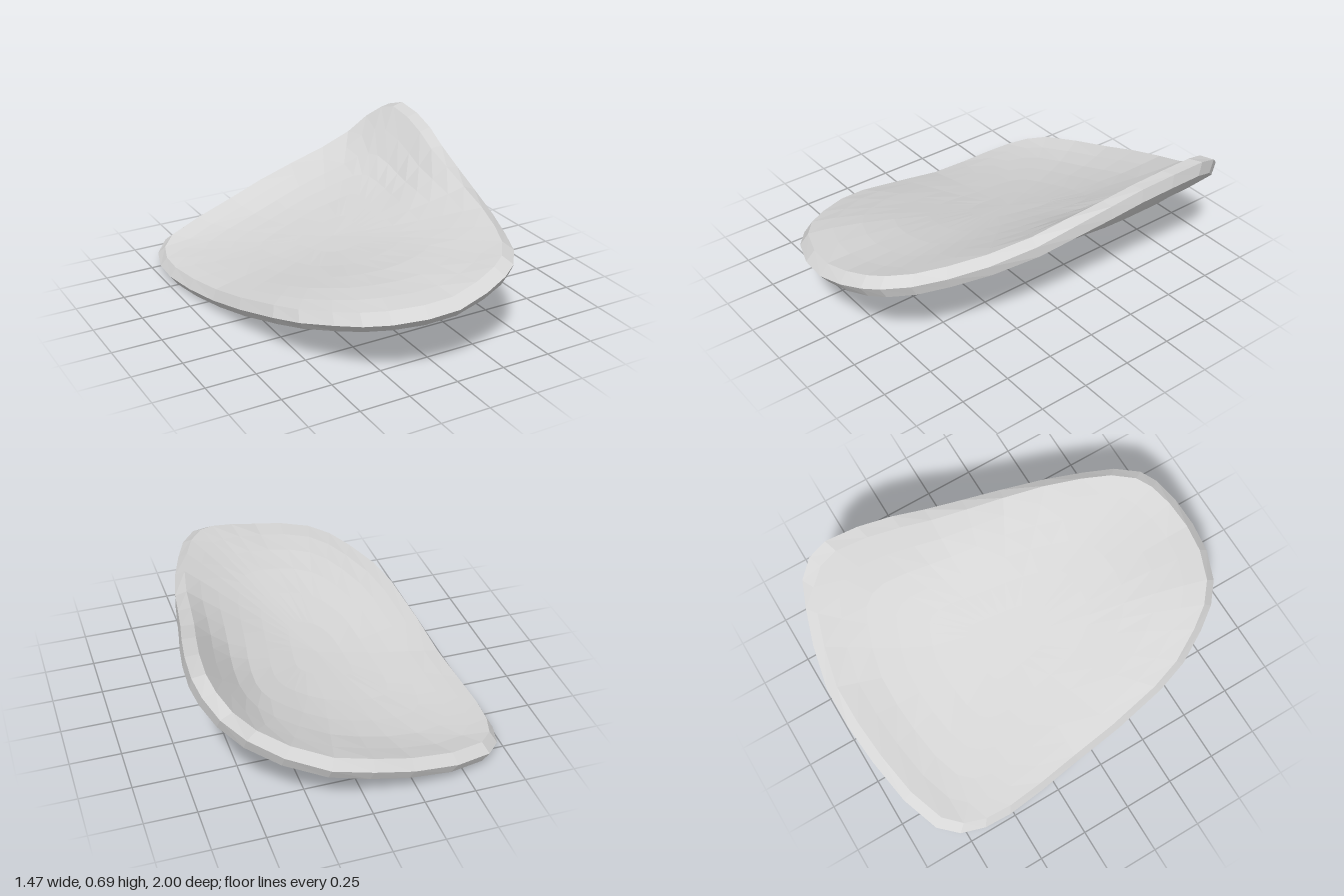
import * as THREE from 'three';

// Plan outline, clockwise from the back: x, z
const OUTLINE = [
  [0, -1], [0.2, -1], [0.4, -0.955], [0.55, -0.9], [0.65, -0.85], [0.705, -0.77], [0.725, -0.67], [0.715, -0.5],
  [0.69, -0.33], [0.66, -0.17], [0.63, 0.02], [0.6, 0.22], [0.55, 0.45], [0.49, 0.64], [0.43, 0.79], [0.35, 0.9],
  [0.27, 0.95], [0.15, 0.985], [0, 1], [-0.15, 0.985], [-0.3, 0.93], [-0.4, 0.85], [-0.48, 0.74], [-0.57, 0.58],
  [-0.62, 0.42], [-0.665, 0.15], [-0.69, -0.1], [-0.72, -0.32], [-0.74, -0.52], [-0.735, -0.66], [-0.7, -0.78],
  [-0.62, -0.87], [-0.43, -0.94], [-0.2, -0.98],
];
// Heights of the middle of the shell: rows z = -1 to 1, columns x = -0.75 to 0.75
const HEIGHTS = [
  [0.12, 0.13, 0.17, 0.24, 0.32, 0.46, 0.64],
  [0.05, 0.06, 0.102, 0.172, 0.27, 0.42, 0.71],
  [0.04, 0.056, 0.098, 0.166, 0.26, 0.41, 0.725],
  [0.056, 0.082, 0.122, 0.188, 0.277, 0.415, 0.735],
  [0.09, 0.122, 0.16, 0.217, 0.3, 0.44, 0.695],
  [0.155, 0.185, 0.213, 0.26, 0.325, 0.445, 0.635],
  [0.205, 0.24, 0.273, 0.305, 0.355, 0.462, 0.59],
  [0.235, 0.279, 0.317, 0.335, 0.385, 0.48, 0.59],
  [0.25, 0.3, 0.335, 0.355, 0.43, 0.53, 0.62],
];
const CENTRE_Z = -0.1;
const HALF_THICKNESS = 0.046;
const SWELL = 0.025; // extra thickness towards the middle of the top

// Smooth interpolation through evenly spaced values
function spline(v, s) {
  const n = v.length;
  const i = Math.min(n - 2, Math.max(0, Math.floor(s)));
  const t = s - i, p1 = v[i], p2 = v[i + 1];
  const p0 = i > 0 ? v[i - 1] : 2 * p1 - p2;
  const p3 = i < n - 2 ? v[i + 2] : 2 * p2 - p1;
  const m1 = (p2 - p0) / 2, m2 = (p3 - p1) / 2;
  return p1 + t * (m1 + t * (3 * (p2 - p1) - 2 * m1 - m2 + t * (2 * (p1 - p2) + m1 + m2)));
}

function height(x, z) {
  return spline(HEIGHTS.map((row) => spline(row, (x + 0.75) / 0.25)), (z + 1) / 0.25);
}

// A ring of the shell at a fraction of the outline, moved along the surface normal
function ring(scale, offset) {
  const e = 0.04;
  return OUTLINE.map(([ox, oz]) => {
    const x = ox * scale, z = CENTRE_Z + (oz - CENTRE_Z) * scale;
    const dx = (height(x + e, z) - height(x - e, z)) / (2 * e);
    const dz = (height(x, z + e) - height(x, z - e)) / (2 * e);
    const normal = new THREE.Vector3(-dx, 1, -dz).normalize();
    return new THREE.Vector3(x, height(x, z), z).addScaledVector(normal, offset);
  });
}

// Joins closed rings into a faceted surface
function loft(rings) {
  const n = OUTLINE.length, index = [];
  for (let k = 0; k < rings.length - 1; k++) {
    for (let i = 0; i < n; i++) {
      const a = k * n + i, b = k * n + (i + 1) % n;
      index.push(a, b, a + n, b, b + n, a + n);
    }
  }
  const geometry = new THREE.BufferGeometry().setFromPoints(rings.flat());
  geometry.setIndex(index);
  geometry.computeVertexNormals();
  return geometry;
}

export function createModel() {
  const group = new THREE.Group();
  group.name = 'curvedShell';
  const material = new THREE.MeshStandardMaterial({ color: 0xd6d6d6, flatShading: true });
  material.name = 'lightGrey';

  const scales = [0, 0.2, 0.4, 0.57, 0.72, 0.85, 0.96];
  const top = scales.map((s) => ring(s, HALF_THICKNESS + SWELL * (1 - s ** 4)));
  const bottom = scales.map((s) => ring(s, -HALF_THICKNESS)).reverse();
  const parts = {
    dishedTop: top,
    bevelledRim: [top[top.length - 1], ring(1, 0), bottom[0]],
    roundedUnderside: bottom,
  };
  for (const [name, rings] of Object.entries(parts)) {
    const mesh = new THREE.Mesh(loft(rings), material);
    mesh.name = name;
    group.add(mesh);
  }

  // Rest the shell on the ground
  const lowest = new THREE.Box3().setFromObject(group).min.y;
  group.children.forEach((mesh) => mesh.geometry.translate(0, -lowest, 0));
  return group;
}
